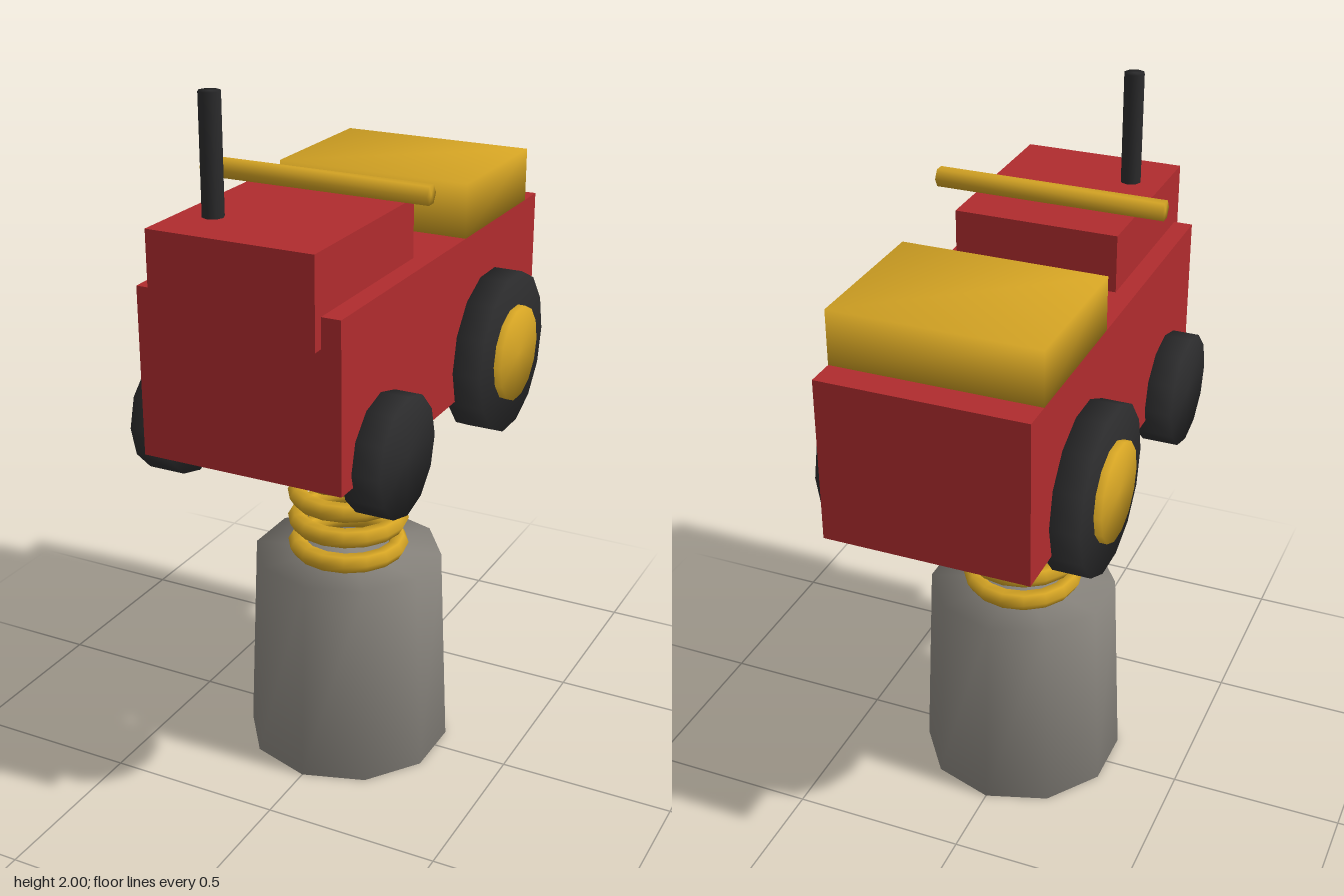
import * as THREE from 'three';
import { mergeVertices } from 'three/addons/utils/BufferGeometryUtils.js';

const material = (name, color) => {
  const m = new THREE.MeshStandardMaterial({ color });
  m.name = name;
  return m;
};

// Weld shared corners so normals blend over the edges
function soften(geometry) {
  geometry.deleteAttribute('normal');
  geometry.deleteAttribute('uv');
  const welded = mergeVertices(geometry, 1e-4);
  welded.computeVertexNormals();
  return welded;
}

export function createModel() {
  const model = new THREE.Group();
  model.name = 'springRiderTractor';
  const red = material('red paint', 0xb02c2e);
  const gold = material('golden yellow', 0xd6a524);
  const black = material('black rubber', 0x2b2b2c);
  const grey = material('grey concrete', 0x8b8780);

  function add(name, geometry, mat, x, y, z) {
    const mesh = new THREE.Mesh(geometry, mat);
    mesh.name = name;
    mesh.position.set(x, y, z);
    model.add(mesh);
    return mesh;
  }
  // Cylinder lying along x
  const axle = (radius, length, sides) =>
    soften(new THREE.CylinderGeometry(radius, radius, length, sides)).rotateZ(Math.PI / 2);

  // Tapered base block
  add('base', soften(new THREE.CylinderGeometry(0.27, 0.295, 0.6, 10)), grey, 0, 0.3, 0.015);

  // Spring made of stacked rings
  const ring = new THREE.TorusGeometry(0.146, 0.028, 6, 16).rotateX(Math.PI / 2);
  for (let i = 0; i < 6; i++) {
    add(`springRing${i + 1}`, ring, gold, 0, 0.625 + i * 0.079, 0.015);
  }

  // Body, hood and seat
  add('body', new THREE.BoxGeometry(0.566, 0.455, 1.244), red, 0, 1.3025, -0.015);
  add('hood', new THREE.BoxGeometry(0.46, 0.24, 0.54), red, 0, 1.57, 0.367);
  add('seat', soften(new THREE.BoxGeometry(0.566, 0.15, 0.432)), gold, 0, 1.605, -0.338);

  // Handlebar and exhaust pipe
  add('handlebar', axle(0.028, 0.65, 6), gold, 0, 1.735, 0.203);
  add('exhaustPipe', soften(new THREE.CylinderGeometry(0.029, 0.029, 0.32, 8)), black, -0.137, 1.84, 0.474);

  // Wheels and hubs on both sides
  for (const [side, s] of [['left', 1], ['right', -1]]) {
    add(`${side}FrontWheel`, axle(0.162, 0.105, 12), black, s * 0.3075, 1.112, 0.393);
    add(`${side}RearWheel`, axle(0.23, 0.105, 14), black, s * 0.3125, 1.165, -0.286);
    add(`${side}RearHub`, axle(0.136, 0.085, 14), gold, s * 0.3435, 1.165, -0.286);
  }
  return model;
}
